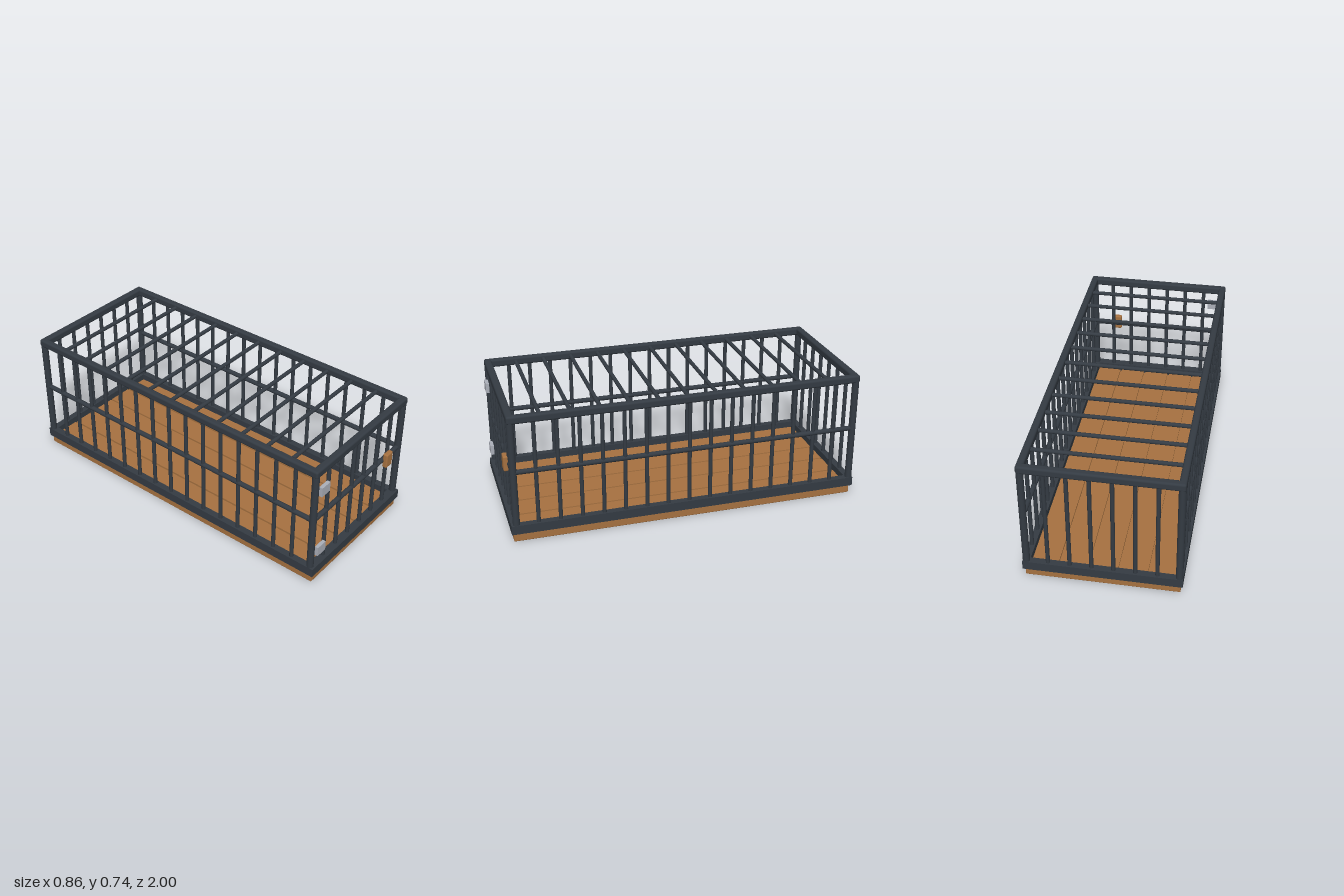
import * as THREE from 'three';
import { RoundedBoxGeometry } from 'three/addons/geometries/RoundedBoxGeometry.js';

const iron = new THREE.MeshStandardMaterial({ name: 'dark iron', color: 0x343b43 });
const wood = new THREE.MeshStandardMaterial({ name: 'brown wood', color: 0xa67140 });
const steel = new THREE.MeshStandardMaterial({ name: 'grey steel', color: 0xabafb9 });

export function createModel() {
  const group = new THREE.Group();
  const cage = new THREE.Group();
  cage.name = 'cage';
  cage.position.z = -0.0075;
  group.add(cage);

  const add = (name, geometry, material, x, y, z) => {
    const mesh = new THREE.Mesh(geometry, material);
    mesh.name = name;
    mesh.position.set(x, y, z);
    cage.add(mesh);
    return mesh;
  };
  const box = (name, w, h, d, material, x, y, z) =>
    add(name, new THREE.BoxGeometry(w, h, d), material, x, y, z);
  const rounded = (name, w, h, d, r, material, x, y, z) =>
    add(name, new RoundedBoxGeometry(w, h, d, 2, r), material, x, y, z);
  // Round bar along the given axis
  const bar = (name, axis, radius, length, x, y, z) => {
    const geometry = new THREE.CylinderGeometry(radius, radius, length, 14);
    if (axis === 'x') geometry.rotateZ(Math.PI / 2);
    if (axis === 'z') geometry.rotateX(Math.PI / 2);
    return add(name, geometry, iron, x, y, z);
  };

  const X = 0.4085, Z = 0.973; // centre lines of the frame
  const T = 0.039;             // frame thickness
  const W = 2 * X + T, L = 2 * Z + T;
  const midY = 0.415, topY = 0.72;

  // Wooden base with five planks laid on it, small gaps between them
  rounded('base', 0.832, 0.052, 1.97, 0.005, wood, 0, 0.026, 0.006);
  for (let i = -2; i <= 2; i++) {
    box('plank', 0.149, 0.012, 1.91, wood, i * 0.16, 0.058, 0);
  }

  // Bottom and top frames, with round corner posts between them
  const lip = 0.01; // the front sill stands out a little
  for (const s of [-1, 1]) {
    box('bottomSideRail', T, 0.052, L, iron, s * X, 0.076, 0);
    rounded('topSideRail', T, 0.046, L, 0.012, iron, s * X, topY, 0);
    rounded('topEndRail', W, 0.046, T + 0.003, 0.012, iron, 0, topY, s * (Z - 0.0015));
    for (const t of [-1, 1]) {
      bar('cornerPost', 'y', T / 2, 0.62, s * X, 0.4, t * Z);
    }
  }
  box('bottomBackRail', W, 0.052, T, iron, 0, 0.076, -Z);
  box('bottomFrontSill', W, 0.052, T + lip, iron, 0, 0.076, Z + lip / 2);

  // Upright bars and middle rails
  for (const s of [-1, 1]) {
    for (let i = 1; i < 7; i++) {
      bar('endBar', 'y', 0.0113, 0.62, -X + (2 * X * i) / 7, 0.4, s * Z);
    }
    for (let i = 1; i < 16; i++) {
      bar('sideBar', 'y', 0.0113, 0.62, s * X, 0.4, -Z + (2 * Z * i) / 16);
    }
    bar('sideMiddleRail', 'z', 0.014, 2 * Z, s * X, midY, 0);
  }
  bar('doorMiddleRail', 'x', 0.014, 2 * X, 0, midY, Z);

  // Roof bars
  for (let i = 1; i < 12; i++) {
    bar('roofBar', 'x', 0.0113, 2 * X, 0, topY, -Z + (2 * Z * i) / 12);
  }

  // Door hinges and latch
  for (const y of [0.201, 0.6]) {
    box('hinge', 0.07, 0.057, 0.02, steel, -0.354, y, 0.993);
  }
  rounded('latch', 0.06, 0.09, 0.03, 0.009, wood, 0.271, midY, 0.9925);

  return group;
}
